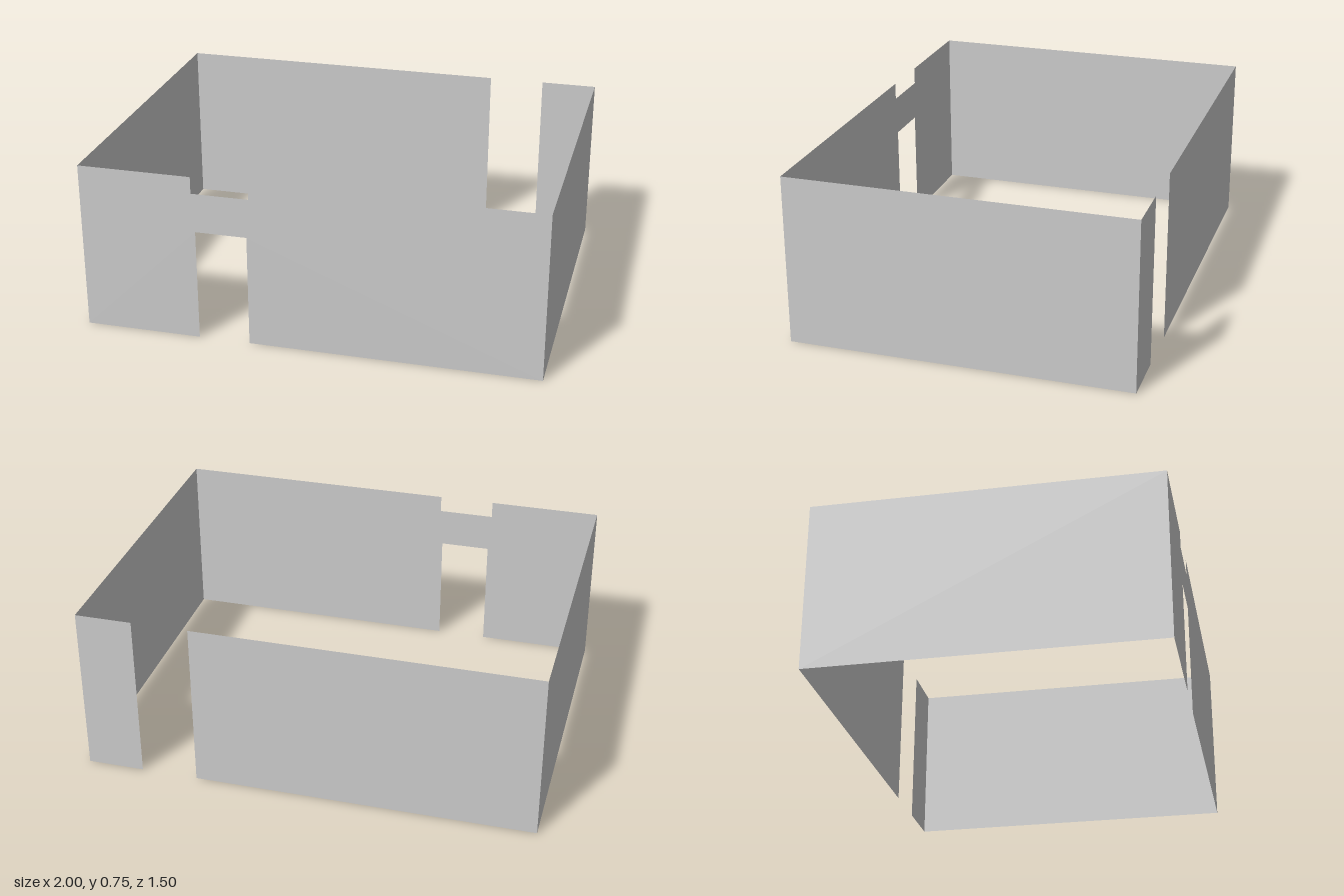
import * as THREE from 'three';

const W = 2, D = 1.5, H = 0.75;

export function createModel() {
  const group = new THREE.Group();
  const material = new THREE.MeshStandardMaterial({
    color: 0xcccccc, flatShading: true, side: THREE.DoubleSide,
  });

  // A thin wall drawn as an outline in x and y, then turned and placed
  const addWall = (name, points, x, z, turn = 0) => {
    const shape = new THREE.Shape(points.map(([px, py]) => new THREE.Vector2(px, py)));
    const wall = new THREE.Mesh(new THREE.ShapeGeometry(shape), material);
    wall.name = name;
    wall.position.set(x, 0, z);
    wall.rotation.y = turn;
    group.add(wall);
  };
  const rect = (x0, x1) => [[x0, 0], [x1, 0], [x1, H], [x0, H]];

  // Front wall with a doorway and a shallow notch above it
  const doorX = -0.375, doorHalf = 0.1125, doorTop = 0.5;
  const notchHalf = 0.125, notchY = 0.675;
  addWall('frontWall', [
    [-W / 2, 0], [doorX - doorHalf, 0], [doorX - doorHalf, doorTop],
    [doorX + doorHalf, doorTop], [doorX + doorHalf, 0], [W / 2, 0],
    [W / 2, H], [doorX + notchHalf, H], [doorX + notchHalf, notchY],
    [doorX - notchHalf, notchY], [doorX - notchHalf, H], [-W / 2, H],
  ], 0, D / 2);

  // Back wall in two pieces, split by a full-height opening
  addWall('backWallLong', rect(-W / 2, 0.5), 0, -D / 2);
  addWall('backWallShort', rect(0.75, W / 2), 0, -D / 2);

  // Plain side walls
  for (const [name, side] of [['leftWall', 1], ['rightWall', -1]]) {
    addWall(name, rect(-D / 2, D / 2), side * W / 2, 0, side * Math.PI / 2);
  }

  return group;
}
